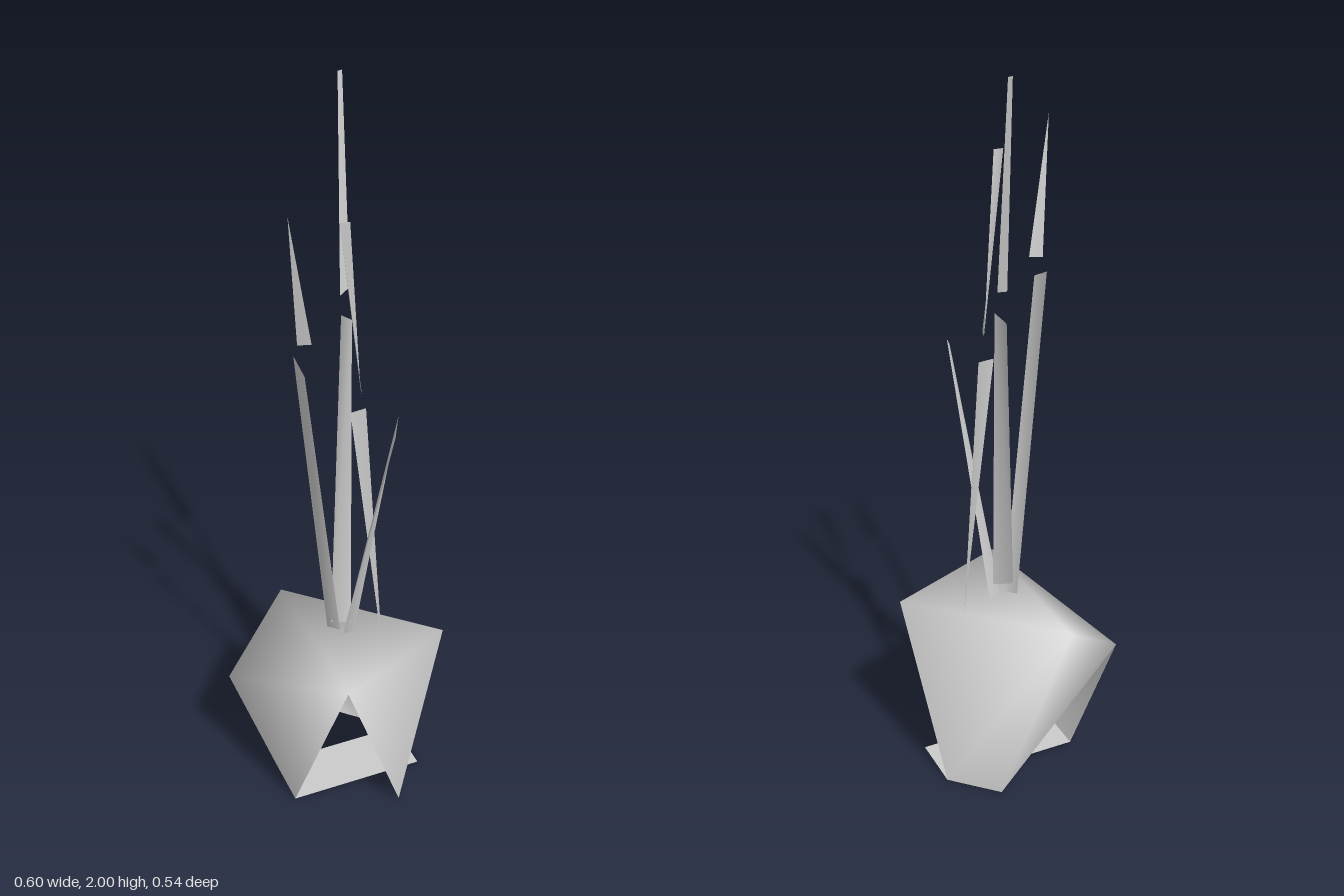
import * as THREE from 'three';

const material = new THREE.MeshStandardMaterial({ color: 0xcccccc, side: THREE.DoubleSide });

// Mesh from a few corner points and the triangles joining them
function surface(name, points, faces) {
  const geometry = new THREE.BufferGeometry();
  geometry.setAttribute('position', new THREE.Float32BufferAttribute(points.flat(), 3));
  geometry.setIndex(faces.flat());
  geometry.computeVertexNormals();
  const mesh = new THREE.Mesh(geometry, material);
  mesh.name = name;
  return mesh;
}

// Corner k of an eight-sided ring, counted from the front towards +x
function corner(k, radius, y) {
  const a = (k * Math.PI) / 4;
  return [0.035 + radius * Math.sin(a), y, radius * Math.cos(a)];
}

const QUAD = [[0, 1, 2], [0, 2, 3]];

export function createModel() {
  const group = new THREE.Group();
  group.name = 'pottedPlant';

  // Pot: soil cover and wall panels with open gaps between them
  const top = (k) => corner(k, 0.267, 0.5);
  const base = (k) => corner(k, 0.211, 0);
  const shell = [
    top(5), top(0), top(2), corner(6, 0.335, 0.335), // 0-3 rim and low left corner
    base(1), base(3), base(4), base(6), base(7),     // 4-8 feet
  ];
  group.add(surface('pot', shell, [
    [0, 1, 2], [1, 0, 3],            // soil cover
    [2, 1, 4],                       // front panel
    [1, 3, 8], [3, 7, 8],            // left-hand panel
    [3, 0, 6], [0, 2, 5], [0, 5, 6], // back panel
  ]));
  group.add(surface('potFloor', [base(6), base(3), base(2), base(7)], QUAD));

  // Leaves: a lower strip each, and a separate tip on the taller ones
  const leaves = {
    backLeafLower: [[-0.01, 0.54, 0.012], [0.045, 0.54, 0.012], [0.045, 1.4, -0.135], [0.018, 1.39, -0.18]],
    backLeafTip: [[0.015, 1.46, -0.15], [0.04, 1.47, -0.18], [0.02, 2, -0.272], [0.009, 2, -0.262]],
    sideLeafLower: [[-0.02, 0.515, 0], [0.015, 0.515, 0.015], [-0.072, 1.39, 0.142], [-0.1, 1.42, 0.09]],
    sideLeafTip: [[-0.09, 1.455, 0.102], [-0.055, 1.455, 0.102], [-0.103, 1.79, 0.156], [-0.106, 1.81, 0.157]],
    middleLeafLower: [[0.125, 0.5, -0.03], [0.13, 0.48, -0.08], [0.08, 1.215, -0.008], [0.04, 1.215, 0.015]],
    middleLeafTip: [[0.065, 1.28, 0.006], [0.068, 1.28, 0.036], [0.012, 1.75, 0.062], [0.036, 1.75, 0.053]],
    frontLeaf: [[0.025, 0.5, 0.012], [0.055, 0.5, 0], [0.158, 1.245, 0.08], [0.15, 1.21, 0.125]],
  };
  for (const [name, points] of Object.entries(leaves)) group.add(surface(name, points, QUAD));

  return group;
}
